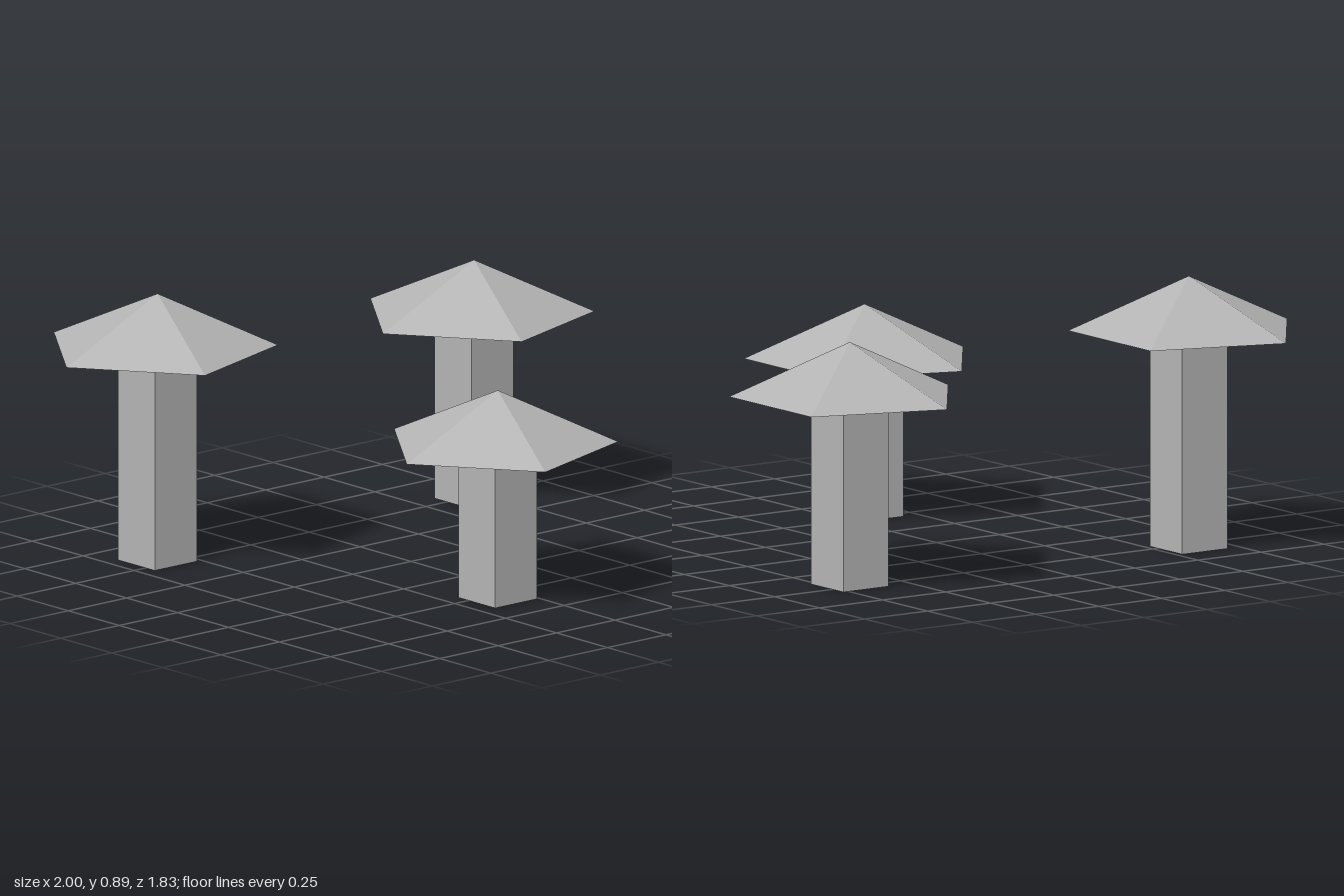
import * as THREE from 'three';

const CAP_RADIUS = 0.39, CAP_HEIGHT = 0.18, STEM_WIDTH = 0.18;

export function createModel() {
  const model = new THREE.Group();
  model.name = 'mushroomCluster';
  const grey = new THREE.MeshStandardMaterial({ color: 0xb3b3b3, flatShading: true });
  grey.name = 'plain grey';

  // Five-sided cap with one corner pointing to -x
  const capGeometry = new THREE.ConeGeometry(CAP_RADIUS, CAP_HEIGHT, 5, 1, false, -Math.PI / 2);

  // A square stem carrying a cap
  function addMushroom(name, x, z, stemHeight) {
    const mushroom = new THREE.Group();
    mushroom.name = name;
    mushroom.position.set(x, 0, z);

    const stem = new THREE.Mesh(new THREE.BoxGeometry(STEM_WIDTH, stemHeight, STEM_WIDTH), grey);
    stem.name = 'stem';
    stem.position.y = stemHeight / 2;

    const cap = new THREE.Mesh(capGeometry, grey);
    cap.name = 'cap';
    cap.position.y = stemHeight + CAP_HEIGHT / 2;

    mushroom.add(stem, cap);
    model.add(mushroom);
  }

  addMushroom('tallMushroom', -0.61, -0.545, 0.71);
  addMushroom('middleMushroom', 0.68, -0.47, 0.617);
  addMushroom('shortMushroom', -0.1, 0.54, 0.513);
  return model;
}
